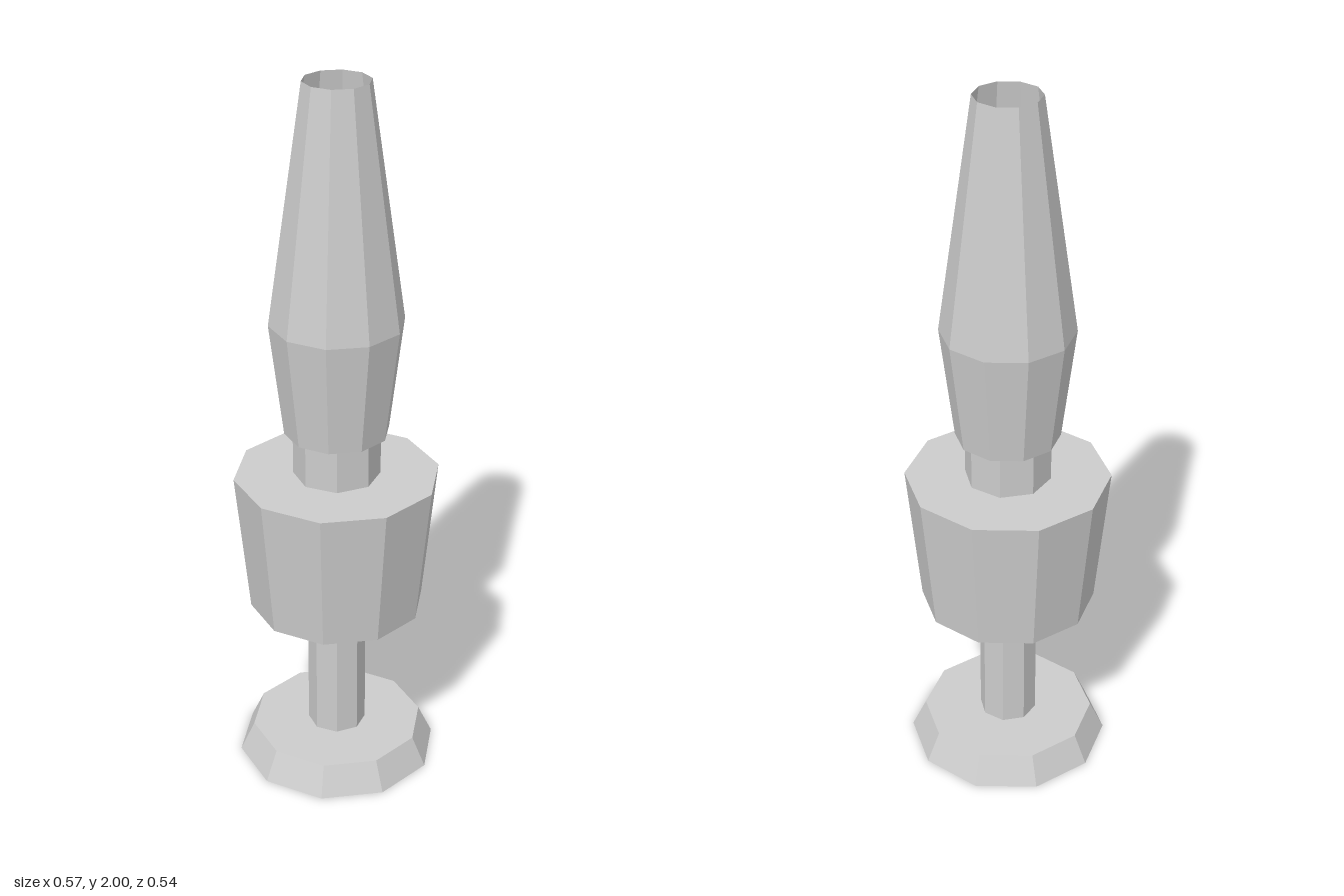
import * as THREE from 'three';

export function createModel() {
  const model = new THREE.Group();
  const grey = new THREE.MeshStandardMaterial({ color: 0xcccccc, flatShading: true, side: THREE.DoubleSide });
  grey.name = 'light grey';

  // Tapered faceted section from y0 to y1, with a corner on the x axis
  function section(name, sides, r0, r1, y0, y1, open = false) {
    const geometry = new THREE.CylinderGeometry(r1, r0, y1 - y0, sides, 1, open, Math.PI / 2);
    geometry.translate(0, (y0 + y1) / 2, 0);
    const mesh = new THREE.Mesh(geometry, grey);
    mesh.name = name;
    model.add(mesh);
  }

  // Ten-sided foot and eight-sided stem
  section('foot', 10, 0.285, 0.245, 0, 0.085);
  section('stem', 8, 0.082, 0.082, 0.085, 0.495);

  // Wide collar and the neck above it
  section('collar', 10, 0.245, 0.285, 0.495, 0.9);
  section('neck', 8, 0.12, 0.12, 0.9, 1.03);

  // Hollow sleeve, open at both ends
  section('lowerSleeve', 10, 0.144, 0.183, 1.03, 1.35, true);
  section('upperSleeve', 10, 0.183, 0.09, 1.35, 2, true);

  return model;
}
